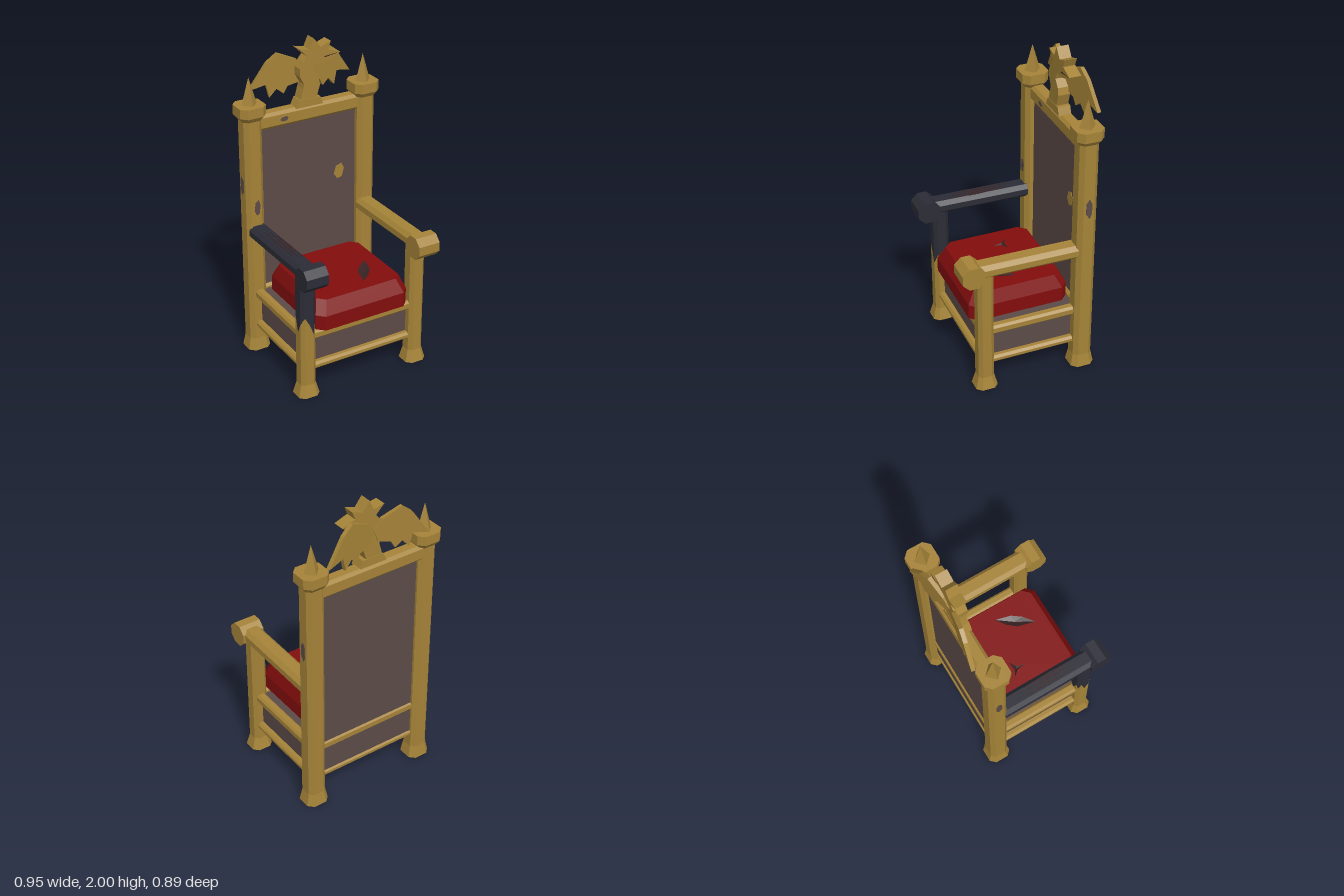
import * as THREE from 'three';

const mat = (name, color) => Object.assign(new THREE.MeshStandardMaterial({ color }), { name });

// Octagonal ring (rectangle with cut corners) in the xz plane, counter-clockwise from above
const oct = (hx, hz, c, y, cx = 0, cz = 0) =>
  [[hx, hz - c], [hx, c - hz], [hx - c, -hz], [c - hx, -hz], [-hx, c - hz], [-hx, hz - c], [c - hx, hz], [hx - c, hz]]
    .map(([x, z]) => new THREE.Vector3(x + cx, y, z + cz));

// Insert a midpoint on every side of a ring
const subdivide = ring => ring.flatMap((p, i) => [p, p.clone().lerp(ring[(i + 1) % ring.length], 0.5)]);

function fromTriangles(pts) {
  const g = new THREE.BufferGeometry().setFromPoints(pts);
  g.computeVertexNormals();
  return g;
}

// Skin a stack of rings, with flat end caps
function loft(rings, bottom = true, top = true) {
  const pts = [], n = rings[0].length, last = rings[rings.length - 1];
  for (let r = 0; r + 1 < rings.length; r++) {
    for (let i = 0; i < n; i++) {
      const j = (i + 1) % n, [a, b, A, B] = [rings[r][i], rings[r][j], rings[r + 1][i], rings[r + 1][j]];
      pts.push(a, b, B, a, B, A);
    }
  }
  for (let i = 1; i + 1 < n; i++) {
    if (bottom) pts.push(rings[0][0], rings[0][i + 1], rings[0][i]);
    if (top) pts.push(last[0], last[i], last[i + 1]);
  }
  return fromTriangles(pts);
}

const shapeOf = pts => new THREE.Shape(pts.map(([x, y]) => new THREE.Vector2(x, y)));

// Flat outline given thickness, centred in z
function plate(pts, depth) {
  return new THREE.ExtrudeGeometry(shapeOf(pts), { depth, bevelEnabled: false }).translate(0, 0, -depth / 2);
}

// Beam with cut corners along z
function beam(w, h, len, c) {
  return loft([oct(w / 2, h / 2, c, -len / 2), oct(w / 2, h / 2, c, len / 2)]).rotateX(Math.PI / 2);
}

export function createModel() {
  const root = new THREE.Group();
  root.name = 'throne';
  const gold = mat('gold', 0xa58338), red = mat('red cushion', 0x820d0d), brown = mat('brown panel', 0x5c4b47),
    dark = mat('charred', 0x2b2c36), gash = mat('torn lining', 0x3a2425);

  const add = (name, geo, m, x = 0, y = 0, z = 0, rx = 0, ry = 0) => {
    const g = geo.index ? geo.toNonIndexed() : geo;
    g.computeVertexNormals();
    const mesh = new THREE.Mesh(g, m);
    mesh.name = name;
    mesh.position.set(x, y, z);
    mesh.rotation.set(rx, ry, 0);
    root.add(mesh);
    return mesh;
  };

  for (const s of [-1, 1]) {
    const tone = s < 0 ? dark : gold;

    // Back post, capital and spike
    add('backPost', loft([oct(0.075, 0.075, 0.032, 0), oct(0.06, 0.06, 0.026, 0.08), oct(0.06, 0.06, 0.026, 1.6)]),
      gold, s * 0.39, 0, -0.34);
    add('postCapital', loft([oct(0.063, 0.063, 0.026, 1.565), oct(0.085, 0.085, 0.036, 1.595), oct(0.085, 0.085, 0.036, 1.655)]),
      gold, s * 0.39, 0, -0.34);
    add('postSpike', new THREE.ConeGeometry(0.05, 0.17, 4), gold, s * 0.39, 1.74, -0.34);

    // Front post; the right one is charred above a jagged line
    const lower = [oct(0.07, 0.07, 0.03, 0), oct(0.05, 0.05, 0.022, 0.08)].map(subdivide);
    const upper = subdivide(oct(0.05, 0.05, 0.022, 0.82));
    const jag = [0.5, 0.43, 0.52, 0.56, 0.47, 0.42, 0.53, 0.46, 0.55, 0.44, 0.5, 0.53, 0.55, 0.5, 0.43, 0.47];
    const edge = upper.map((p, i) => p.clone().setY(s < 0 ? jag[i] : 0.5));
    add('frontPostLower', loft([...lower, edge], true, false), gold, s * 0.382, 0, 0.29);
    add('frontPostUpper', loft([edge, upper], false), tone, s * 0.382, 0, 0.29);

    // Armrest with an octagonal hand block
    add('armrest', beam(0.12, 0.088, 0.62, 0.025), tone, s * 0.38, 0.841, 0.02, -0.015);
    add('armrestHand', loft([oct(0.07, 0.07, 0.041, -0.0725), oct(0.07, 0.07, 0.041, 0.0725)]).rotateZ(Math.PI / 2),
      tone, s * 0.382, 0.84, 0.375);

    // Side rails
    for (const [y, h] of [[0.4, 0.06], [0.182, 0.046]])
      add('sideRail', beam(0.06, h, 0.58, 0.014), gold, s * 0.383, y, -0.02);

    // Chip on the outer face of the back post
    const chip = plate([[-0.018, -0.03], [0.006, -0.065], [0.02, -0.03], [0.02, 0.035], [0.004, 0.065], [-0.016, 0.04]], 0.006);
    add('postSideChip', chip, brown, s * 0.45, 1.14, -0.34, 0, Math.PI / 2);
  }

  // Front and back rails
  for (const z of [0.29, -0.34])
    for (const [y, h] of [[0.4, 0.06], [0.182, 0.046]])
      add(z > 0 ? 'frontRail' : 'backRail', beam(0.06, h, 0.7, 0.014).rotateY(Math.PI / 2), gold, 0, y, z);
  add('topRail', beam(0.092, 0.1, 0.7, 0.018).rotateY(Math.PI / 2), gold, 0, 1.53, -0.35);

  // Seat box and back panel
  add('seatBox', new THREE.BoxGeometry(0.75, 0.235, 0.625), brown, 0, 0.287, -0.03);
  add('backPanel', new THREE.BoxGeometry(0.7, 1.32, 0.03), brown, 0, 0.85, -0.345);

  // Cushion with two torn hollows in its top
  const leaf = [[0.2, 0.01], [0.14, 0.05], [0.09, 0.11], [0.06, 0.225], [0.13, 0.17], [0.175, 0.11]];
  const star = [[-0.19, -0.075], [-0.155, -0.04], [-0.147, 0.015], [-0.13, -0.035], [-0.09, -0.06], [-0.145, -0.055]];
  const rim = oct(0.287, 0.275, 0.045, 0.61, 0, 0.025);
  add('cushionSides', loft([oct(0.318, 0.318, 0.045, 0.43, 0, 0.028), oct(0.318, 0.318, 0.045, 0.525, 0, 0.028), rim], true, false), red);
  const topShape = shapeOf(rim.map(p => [p.x, -p.z]));
  for (const hole of [leaf, star]) {
    topShape.holes.push(new THREE.Path(hole.map(([x, z]) => new THREE.Vector2(x, -z))));
    const ring = hole.map(([x, z]) => new THREE.Vector3(x, 0.61, z));
    const pit = ring.reduce((a, p) => a.add(p), new THREE.Vector3()).divideScalar(ring.length).setY(0.59);
    add('cushionTear', fromTriangles(ring.flatMap((p, i) => [p, ring[(i + 1) % ring.length], pit])), gash);
  }
  add('cushionTop', new THREE.ShapeGeometry(topShape).rotateX(-Math.PI / 2), red, 0, 0.61, 0);

  // Claw marks on the charred armrest
  [[-0.395, 0.01, 0.19], [-0.37, 0.03, 0.185], [-0.348, 0.035, 0.175]].forEach(([x, z, h]) => {
    const mark = plate([[0, h], [-0.007, 0.03], [-0.004, -h], [0.006, -0.04]], 0.004).rotateX(-Math.PI / 2);
    add('clawMark', mark, gash, x, 0.8855, z, -0.015);
  });

  // Chips on the front faces
  const blot = (w, h) => plate([[-w, -0.3 * h], [-0.3 * w, -h], [0.6 * w, -0.8 * h], [w, 0.3 * h], [0.5 * w, h], [-0.6 * w, 0.7 * h]], 0.006);
  add('postFrontChip', blot(0.02, 0.05), brown, -0.385, 1.0, -0.28);
  add('topRailChip', blot(0.028, 0.015), brown, -0.177, 1.53, -0.304);
  add('panelChip', blot(0.036, 0.05), gold, 0.215, 1.085, -0.33);

  // Crest: plinth, winged beast's body and wings
  add('crestPlinth', plate([[-0.095, 1.575], [0.09, 1.575], [0.07, 1.625], [-0.07, 1.625]], 0.08), gold, 0, 0, -0.342);
  add('crestBeast', plate([[-0.065, 1.62], [-0.045, 1.69], [-0.04, 1.72], [-0.065, 1.77], [-0.065, 1.82], [-0.04, 1.86],
    [-0.015, 1.89], [-0.07, 1.945], [0, 1.93], [0.03, 1.995], [0.075, 1.935], [0.145, 1.96], [0.125, 1.91], [0.21, 1.88],
    [0.165, 1.855], [0.105, 1.835], [0.045, 1.84], [0.025, 1.79], [0.06, 1.745], [0.07, 1.7], [0.045, 1.62]], 0.075),
  gold, 0, 0, -0.342);
  // Brow and mouth lines, cut as thin dark strips
  add('beastMouth', plate([[0.1, 1.872], [0.2, 1.879], [0.1, 1.865]], 0.079), gash, 0, 0, -0.342);

  for (const s of [-1, 1]) {
    const wing = [[0, 1.8], [0.05, 1.86], [0.172, 1.912], [0.24, 1.86], [0.35, 1.7], [0.245, 1.725], [0.225, 1.64],
      [0.18, 1.69], [0.135, 1.655], [0.11, 1.7], [0.03, 1.72]].map(([x, y]) => [s * x, y]);
    add(s < 0 ? 'rightWing' : 'leftWing', plate(wing, 0.025), gold, 0, 0, -0.372, 0, s * 0.18);
  }
  return root;
}
